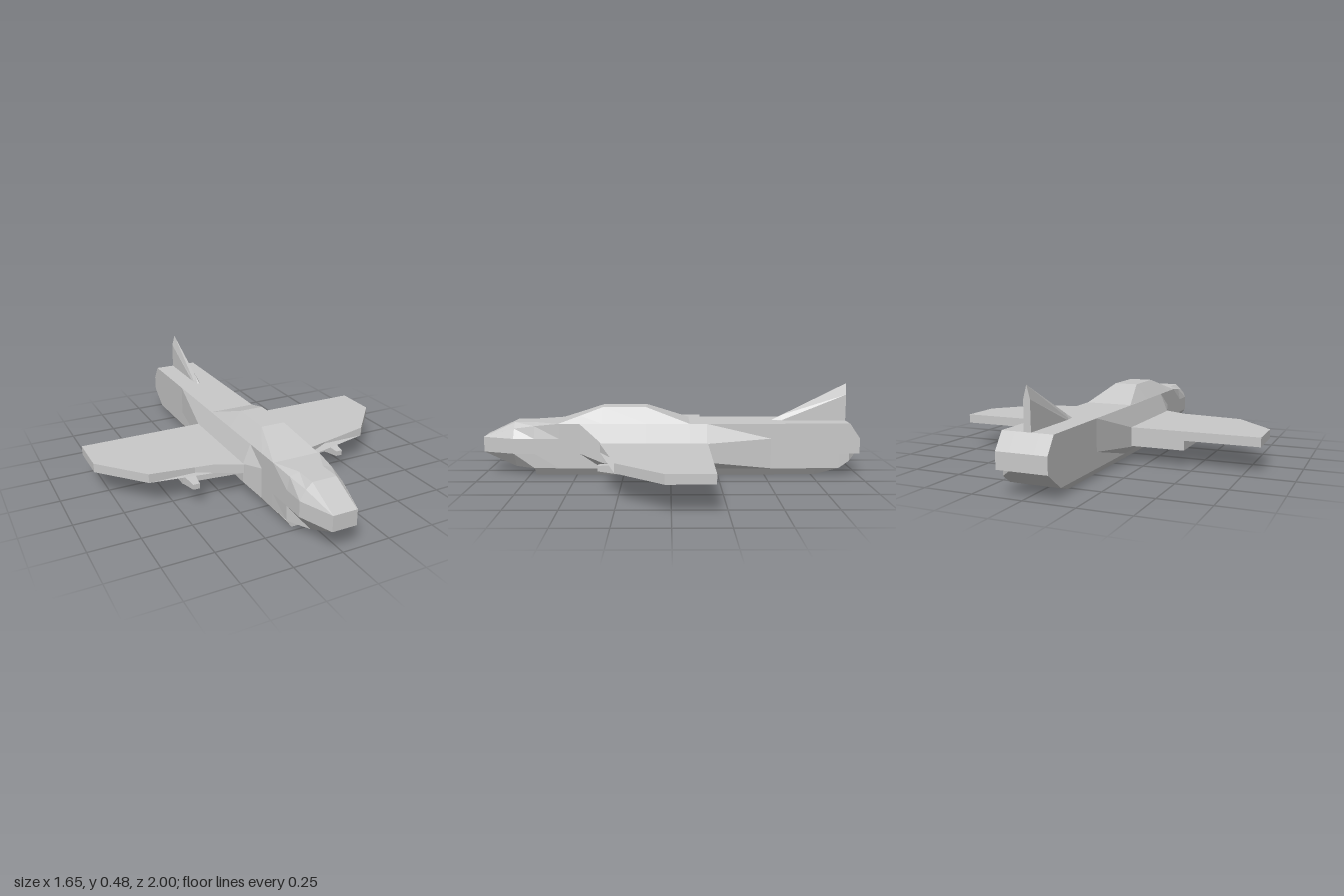
import * as THREE from 'three';

// Complete a half outline (listed on the +x side) with its mirror image.
const mirror = (half) => half.concat(half.slice().reverse().map(([x, y, z]) => [-x, y, z]));

// Skin a closed solid through equal-sized loops, counter-clockwise seen from the last one.
function loft(loops) {
  const pos = [];
  const tri = (a, b, c) => pos.push(...a, ...b, ...c);
  const n = loops[0].length;
  for (let i = 0; i < loops.length - 1; i++) {
    for (let j = 0; j < n; j++) {
      const k = (j + 1) % n;
      const a = loops[i][j], b = loops[i][k], c = loops[i + 1][k], d = loops[i + 1][j];
      tri(a, b, c);
      tri(a, c, d);
    }
  }
  const first = loops[0], last = loops[loops.length - 1];
  for (let j = 1; j < n - 1; j++) {
    tri(first[0], first[j + 1], first[j]);
    tri(last[0], last[j], last[j + 1]);
  }
  const g = new THREE.BufferGeometry();
  g.setAttribute('position', new THREE.Float32BufferAttribute(pos, 3));
  g.computeVertexNormals();
  return g;
}

export function createModel() {
  const model = new THREE.Group();
  model.name = 'aircraft';
  const grey = new THREE.MeshStandardMaterial({ color: 0xc8c8c8 });
  grey.name = 'light grey';
  const add = (name, loops) => {
    const mesh = new THREE.Mesh(loft(loops), grey);
    mesh.name = name;
    model.add(mesh);
  };
  const section = (z, half) => mirror(half.map(([x, y]) => [x, y, z]));
  const slab = (y, half) => mirror(half.map(([x, z]) => [x, y, z]));

  // Fuselage: keel, lower side, upper side, shoulder, spine at each station
  const mid = [[0.125, 0.04], [0.165, 0.08], [0.165, 0.18], [0.125, 0.28]];
  const square = [[0.125, 0.04], [0.125, 0.12], [0.125, 0.2], [0.125, 0.28]];
  add('fuselage', [
    section(-1, [[0.06, 0.12], [0.125, 0.12], [0.125, 0.2], [0.125, 0.2], [0.06, 0.2]]),
    section(-0.945, [[0.125, 0.08], [0.125, 0.12], [0.125, 0.2], [0.125, 0.28], [0.06, 0.28]]),
    section(-0.89, [...square, [0.06, 0.28]]),
    section(-0.53, [...square, [0.06, 0.28]]),
    section(-0.19, [...mid, [0.12, 0.28]]),
    section(-0.1, [...mid, [0.12, 0.28]]),
    section(0.13, [...mid, [0.063, 0.36]]),
    section(0.36, [...mid, [0.063, 0.36]]),
    section(0.48, [...square, [0.093, 0.318]]),
    section(0.59, [...square, [0.12, 0.28]]),
    section(0.72, [[0.122, 0.04], [0.125, 0.12], [0.125, 0.2], [0.112, 0.266], [0.063, 0.28]]),
    section(0.83, [[0.063, 0.04], [0.125, 0.12], [0.125, 0.2], [0.095, 0.25], [0.063, 0.28]]),
    section(1, [[0.063, 0.12], [0.063, 0.12], [0.063, 0.2], [0.063, 0.2], [0.06, 0.2]]),
  ]);

  // Belly keel, rising at the tail
  add('belly', [
    section(-0.89, [[0.12, 0.04], [0.125, 0.042]]),
    section(-0.77, [[0.095, 0], [0.125, 0.042]]),
    section(0.72, [[0.095, 0], [0.125, 0.042]]),
  ]);

  // Wings as one slab through the body
  const wing = [[0.165, 0.37], [0.38, 0.26], [0.62, 0.26], [0.825, 0.03], [0.825, -0.195]];
  add('wings', [slab(0.135, wing), slab(0.182, wing)]);

  // Thicker inner underside with a chamfered leading edge
  add('wingUnderside', [
    slab(0.085, [[0.165, 0.27], [0.38, 0.255], [0.445, 0.255], [0.445, -0.195]]),
    slab(0.135, [[0.165, 0.37], [0.38, 0.26], [0.445, 0.26], [0.445, -0.195]]),
  ]);

  // Tapered barrels at the ends of the thick section
  for (const side of [-1, 1]) {
    const box = (z, w, y0, y1) =>
      [[w, y0], [w, y1], [-w, y1], [-w, y0]].map(([x, y]) => [side * 0.413 + x, y, z]);
    add(side > 0 ? 'leftBarrel' : 'rightBarrel', [
      box(0.24, 0.033, 0.085, 0.135),
      box(0.355, 0.017, 0.098, 0.125),
    ]);
  }

  // Tail fin, sharp along its sloping edge
  add('tailFin', [
    section(-0.945, [[0.018, 0.27], [0.016, 0.42], [0, 0.48]]),
    section(-0.6, [[0.02, 0.27], [0.016, 0.281], [0, 0.307]]),
    section(-0.55, [[0.018, 0.27], [0.015, 0.275], [0, 0.281]]),
  ]);

  return model;
}
